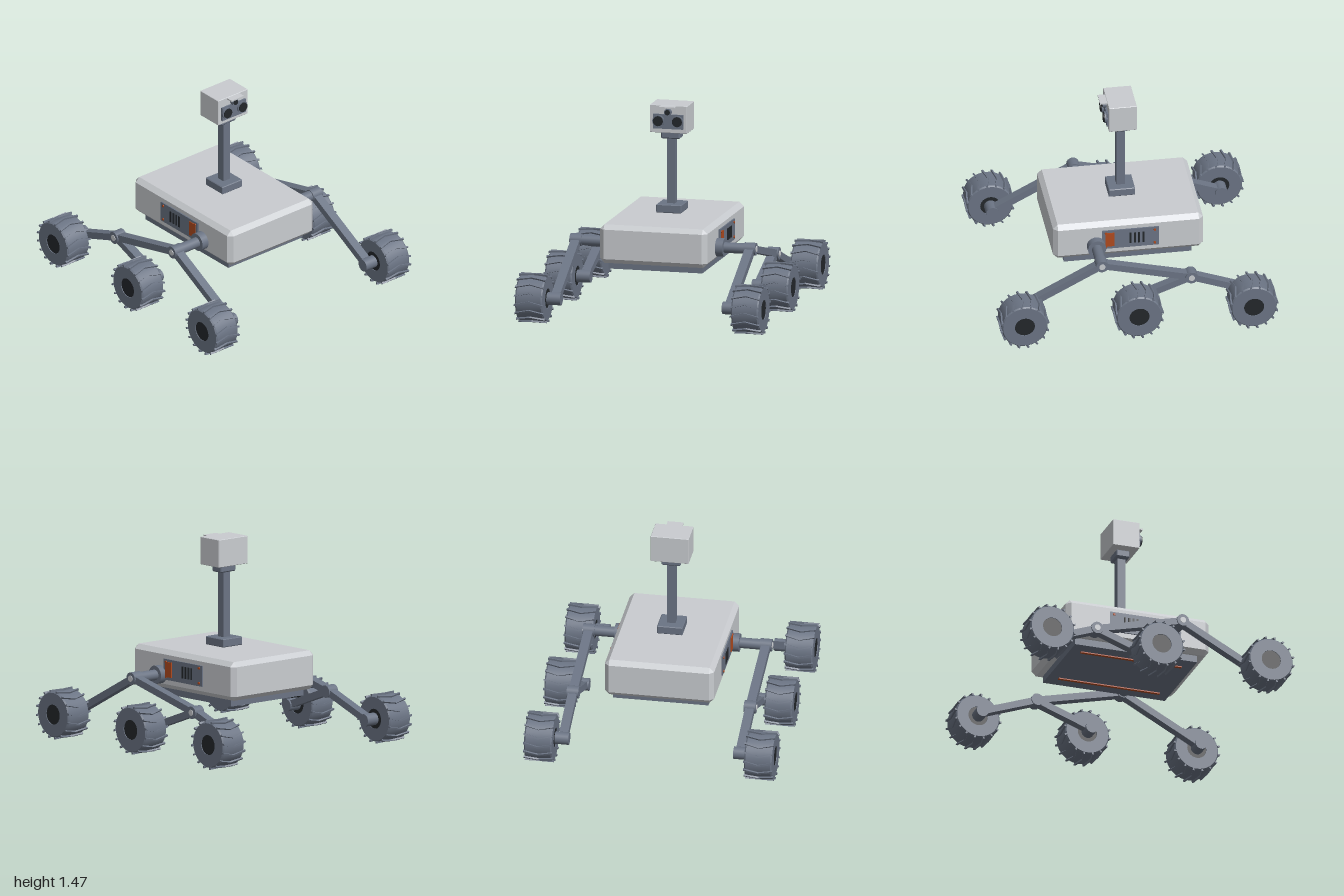
import * as THREE from 'three';
import { mergeGeometries, toCreasedNormals } from 'three/addons/utils/BufferGeometryUtils.js';
import { ConvexGeometry } from 'three/addons/geometries/ConvexGeometry.js';

const mat = (color) => new THREE.MeshStandardMaterial({ color });
const shell = mat(0xc9ccd0), slate = mat(0x6b7484), dark = mat(0x23272b), orange = mat(0xb04a1e);

const WHEEL_R = 0.175, WHEEL_Y = 0.177, WHEEL_X = 0.795, WHEEL_Z = 0.825, ARM_X = 0.64;

function add(parent, name, geometry, material, x = 0, y = 0, z = 0) {
  const mesh = new THREE.Mesh(geometry, material);
  mesh.name = name;
  mesh.position.set(x, y, z);
  parent.add(mesh);
  return mesh;
}

const box = (w, h, d) => new THREE.BoxGeometry(w, h, d);

// cylinder lying along x or z
const rodX = (r, len, sides = 24) => new THREE.CylinderGeometry(r, r, len, sides).rotateZ(-Math.PI / 2);
const rodZ = (r, len, r2 = r) => new THREE.CylinderGeometry(r, r2, len, 24).rotateX(Math.PI / 2);

// box with every edge cut at 45 degrees
function chamferBox(w, h, d, c) {
  const points = [];
  for (const sx of [-1, 1]) for (const sy of [-1, 1]) for (const sz of [-1, 1]) {
    const [x, y, z] = [w / 2, h / 2, d / 2];
    points.push(
      new THREE.Vector3(sx * x, sy * (y - c), sz * (z - c)),
      new THREE.Vector3(sx * (x - c), sy * y, sz * (z - c)),
      new THREE.Vector3(sx * (x - c), sy * (y - c), sz * z));
  }
  return new ConvexGeometry(points);
}

// tyre: ring profile turned around the x axis
function tyreGeometry() {
  const r = WHEEL_R - 0.01, w = 0.1, hub = 0.072;
  const profile = [[hub, -w], [r - 0.008, -w], [r, -w + 0.01], [r, w - 0.01], [r - 0.008, w], [hub, w], [hub, -w]]
    .map(([a, b]) => new THREE.Vector2(a, b));
  return toCreasedNormals(new THREE.LatheGeometry(profile, 40).rotateZ(-Math.PI / 2), 0.6);
}

// chevron cleats: bars bent into a V and wrapped round the tyre
function treadGeometry() {
  const count = 16, cleats = [];
  for (let i = 0; i < count; i++) {
    const g = new THREE.BoxGeometry(0.21, 0.016, 0.013, 4, 1, 1);
    const p = g.attributes.position;
    for (let k = 0; k < p.count; k++) {
      const x = p.getX(k), radius = WHEEL_R - 0.006 + p.getY(k);
      const a = (i / count) * Math.PI * 2 + (p.getZ(k) + Math.abs(x) * 0.25) / WHEEL_R;
      p.setXYZ(k, x, Math.cos(a) * radius, Math.sin(a) * radius);
    }
    cleats.push(g);
  }
  return toCreasedNormals(mergeGeometries(cleats), 0.3);
}

const tyre = tyreGeometry(), tread = treadGeometry();

function addWheel(parent, side, z) {
  const wheel = new THREE.Group();
  wheel.name = 'wheel';
  wheel.position.set(side * WHEEL_X, WHEEL_Y, z);
  add(wheel, 'tyre', tyre, slate);
  add(wheel, 'tread', tread, slate);
  add(wheel, 'hub', rodX(0.072, 0.19), dark);
  parent.add(wheel);
  add(parent, 'axle', rodX(0.045, 0.1), slate, side * 0.645, WHEEL_Y, z);
}

// suspension bar between two [y, z] points
function addArm(parent, name, side, [y0, z0], [y1, z1]) {
  const arm = add(parent, name, box(0.065, 0.05, Math.hypot(y1 - y0, z1 - z0)), slate,
    side * ARM_X, (y0 + y1) / 2, (z0 + z1) / 2);
  arm.rotation.x = -Math.atan2(y1 - y0, z1 - z0);
}

function addJoint(parent, name, side, [y, z]) {
  add(parent, name, rodX(0.045, 0.085), slate, side * ARM_X, y, z);
  add(parent, name + 'Cap', rodX(0.022, 0.01), shell, side * 0.682, y, z);
}

function addSuspension(parent, side) {
  const g = new THREE.Group();
  g.name = side > 0 ? 'leftSuspension' : 'rightSuspension';
  const rocker = [0.49, 0.235], bogie = [0.33, -0.41];
  add(g, 'pivotCollar', rodX(0.066, 0.07), slate, side * 0.415, ...rocker);
  add(g, 'pivotShaft', rodX(0.038, 0.24), slate, side * 0.53, ...rocker);
  addJoint(g, 'rockerJoint', side, rocker);
  addJoint(g, 'bogieJoint', side, bogie);
  addArm(g, 'frontArm', side, rocker, [WHEEL_Y, WHEEL_Z]);
  addArm(g, 'rockerArm', side, rocker, bogie);
  addArm(g, 'middleArm', side, bogie, [WHEEL_Y, 0]);
  addArm(g, 'rearArm', side, bogie, [WHEEL_Y, -WHEEL_Z]);
  for (const z of [WHEEL_Z, 0, -WHEEL_Z]) addWheel(g, side, z);
  parent.add(g);
}

// service panel with vents, hatch and corner bolts
function addSidePanel(parent, side) {
  const g = new THREE.Group();
  g.name = 'sidePanel';
  add(g, 'panelPlate', box(0.02, 0.15, 0.41), slate, side * 0.395, 0.533, -0.012);
  add(g, 'hatch', box(0.02, 0.11, 0.065), orange, side * 0.402, 0.535, 0.137);
  for (let i = 0; i < 4; i++)
    add(g, 'vent', box(0.016, 0.085, 0.014), dark, side * 0.402, 0.535, -0.012 - i * 0.031);
  for (const y of [0.48, 0.588]) for (const z of [0.165, -0.187])
    add(g, 'bolt', rodX(0.009, 0.02, 12), orange, side * 0.402, y, z);
  parent.add(g);
}

function addHead(parent) {
  const g = new THREE.Group();
  g.name = 'cameraHead';
  add(g, 'headCase', chamferBox(0.275, 0.2, 0.2, 0.003), shell, 0, 1.37, 0);
  add(g, 'facePlate', box(0.22, 0.105, 0.015), slate, 0, 1.354, 0.105);
  for (const x of [-0.07, 0.07]) {
    add(g, 'lensRing', rodZ(0.043, 0.02), slate, x, 1.358, 0.115);
    add(g, 'lens', rodZ(0.036, 0.03), dark, x, 1.358, 0.118);
  }
  add(g, 'smallLensRing', rodZ(0.026, 0.03), slate, 0, 1.424, 0.113);
  add(g, 'smallLens', rodZ(0.019, 0.036), dark, 0, 1.424, 0.117);
  add(g, 'visor', box(0.115, 0.01, 0.06), shell, 0, 1.462, 0.122);
  parent.add(g);
}

export function createModel() {
  const rover = new THREE.Group();
  rover.name = 'rover';

  // chassis
  add(rover, 'body', chamferBox(0.79, 0.28, 1.08, 0.033), shell, 0, 0.53, 0);
  add(rover, 'bellyPlate', box(0.69, 0.06, 0.92), slate, 0, 0.37, 0);
  for (const x of [-0.235, 0.235])
    add(rover, 'bellyStrip', box(0.022, 0.012, 0.76), orange, x, 0.338, 0);

  // mast and head
  add(rover, 'mastBase', chamferBox(0.185, 0.06, 0.19, 0.005), slate, 0, 0.717, 0);
  add(rover, 'mast', box(0.06, 0.5, 0.06), slate, 0, 0.98, 0);
  add(rover, 'neck', chamferBox(0.14, 0.055, 0.1, 0.008), slate, 0, 1.245, 0);
  addHead(rover);

  for (const side of [-1, 1]) {
    addSidePanel(rover, side);
    addSuspension(rover, side);
  }
  return rover;
}
